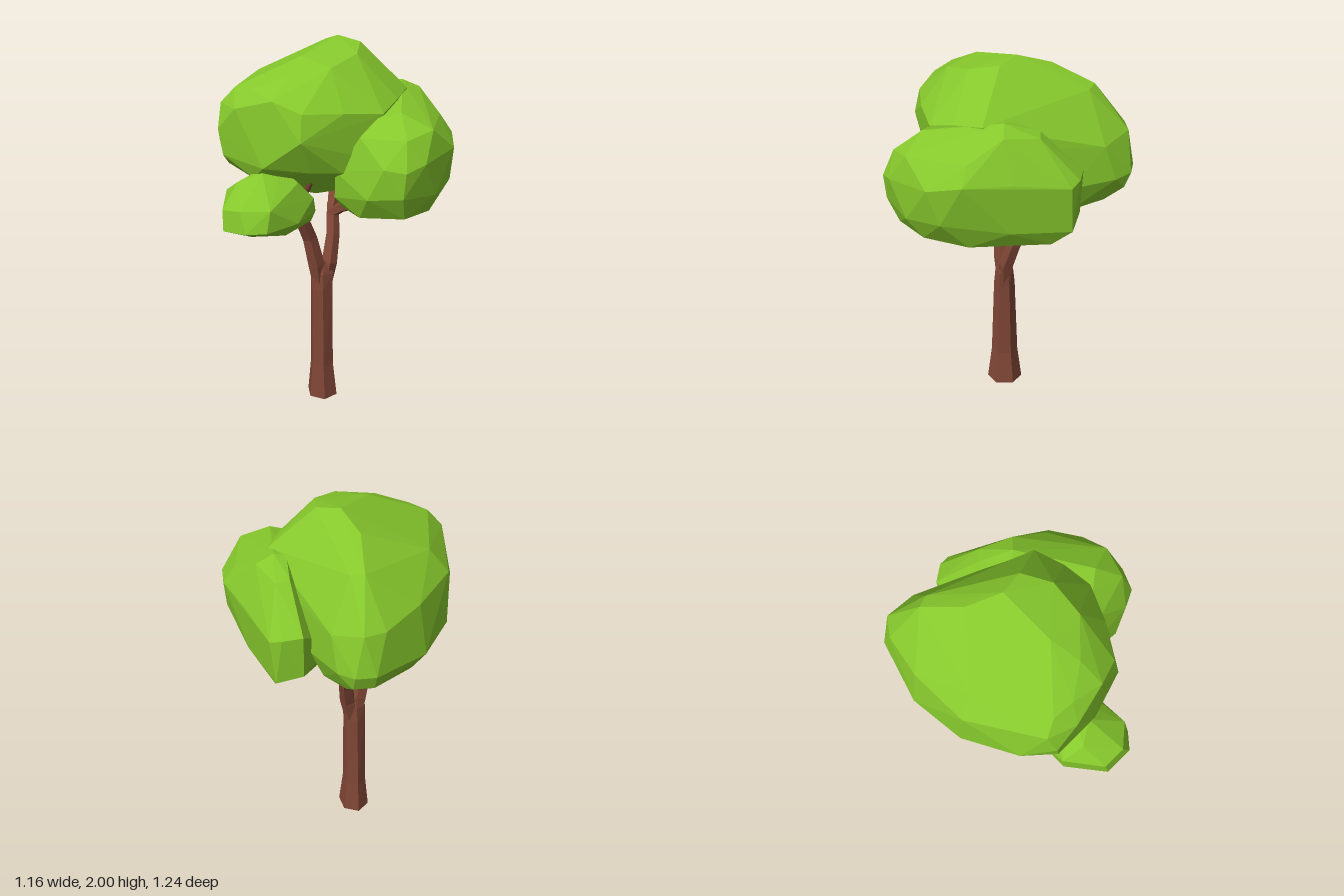
import * as THREE from 'three';
import { ConvexGeometry } from 'three/addons/geometries/ConvexGeometry.js';

const bark = new THREE.MeshStandardMaterial({ color: 0x7f4636 });
bark.name = 'bark brown';
const leaf = new THREE.MeshStandardMaterial({ color: 0x86c82c });
leaf.name = 'leaf green';

// Faceted limb through sections [x, y, z, radiusX, radiusZ], made by bending a cylinder
function limb(name, sections, sides = 5) {
  const n = sections.length - 1;
  const centres = sections.map(([x, y, z]) => new THREE.Vector3(x, y, z));
  const up = new THREE.Vector3(0, 1, 0);
  const turns = centres.map((_, i) => {
    const dir = centres[Math.min(i + 1, n)].clone().sub(centres[Math.max(i - 1, 0)]).normalize();
    return new THREE.Quaternion().setFromUnitVectors(up, dir);
  });
  const geo = new THREE.CylinderGeometry(1, 1, n, sides, n).toNonIndexed();
  const pos = geo.attributes.position;
  const v = new THREE.Vector3();
  for (let k = 0; k < pos.count; k++) {
    v.fromBufferAttribute(pos, k);
    const i = Math.round(v.y + n / 2);
    const [, , , rx, rz = rx] = sections[i];
    v.set(v.x * rx, 0, v.z * rz).applyQuaternion(turns[i]).add(centres[i]);
    pos.setXYZ(k, v.x, v.y, v.z);
  }
  geo.computeVertexNormals();
  const mesh = new THREE.Mesh(geo, bark);
  mesh.name = name;
  return mesh;
}

// Faceted leaf clump wrapped around rings of corner points
function clump(name, ...rings) {
  const points = rings.flat().map(p => new THREE.Vector3(...p));
  const mesh = new THREE.Mesh(new ConvexGeometry(points), leaf);
  mesh.name = name;
  return mesh;
}

export function createModel() {
  const tree = new THREE.Group();
  tree.name = 'tree';

  // Trunk with flared foot, closing to a notch between the forks
  tree.add(limb('trunk', [
    [-0.053, 0.005, 0.035, 0.085, 0.097], [-0.055, 0.2, 0.035, 0.065, 0.073],
    [-0.055, 0.65, 0.035, 0.063, 0.057], [-0.053, 0.74, 0.035, 0.066, 0.048], [-0.05, 0.81, 0.035, 0.035, 0.022],
  ], 6));

  // Two main forks
  tree.add(limb('rightFork', [
    [-0.064, 0.62, 0.04, 0.032], [-0.084, 0.79, 0.045, 0.046], [-0.12, 0.95, 0.055, 0.04],
    [-0.175, 1.1, 0.1, 0.037], [-0.22, 1.17, 0.13, 0.026],
  ]));
  tree.add(limb('leftFork', [
    [-0.042, 0.62, 0.03, 0.032], [-0.014, 0.79, 0.025, 0.044], [0.012, 0.93, -0.02, 0.038],
    [0.02, 1.08, -0.08, 0.034], [0.045, 1.16, -0.11, 0.026], [0.15, 1.24, -0.17, 0.014],
  ]));

  // Side branches: name, then sections
  const branches = [
    ['leftBranch', [0.01, 1.04, -0.06, 0.03], [0.06, 1.08, -0.03, 0.03], [0.15, 1.12, 0.03, 0.026], [0.27, 1.17, 0.07, 0.014]],
    ['leftTwig', [0.1, 1.1, 0, 0.02], [0.17, 1.13, -0.03, 0.017], [0.25, 1.19, -0.05, 0.01]],
    ['backBranch', [0.02, 1.07, -0.08, 0.028], [0.03, 1.15, -0.14, 0.026], [0.02, 1.2, -0.24, 0.021], [0, 1.25, -0.33, 0.012]],
    ['backTwig', [0.02, 1.18, -0.2, 0.016], [-0.04, 1.24, -0.23, 0.009]],
    ['frontBranch', [-0.16, 1.06, 0.09, 0.03], [-0.2, 1.1, 0.17, 0.026], [-0.28, 1.13, 0.27, 0.022], [-0.36, 1.2, 0.34, 0.012]],
    ['frontTwig', [-0.19, 1.1, 0.15, 0.02], [-0.18, 1.22, 0.2, 0.018], [-0.15, 1.3, 0.26, 0.015], [-0.13, 1.36, 0.3, 0.009]],
    ['rightBranch', [-0.13, 0.98, 0.06, 0.03], [-0.18, 1.07, 0, 0.026], [-0.23, 1.15, -0.08, 0.02], [-0.26, 1.23, -0.14, 0.012]],
    ['rightTwig', [-0.19, 1.09, -0.01, 0.02], [-0.27, 1.13, -0.06, 0.017], [-0.33, 1.17, -0.11, 0.01]],
  ];
  for (const [name, ...sections] of branches) tree.add(limb(name, sections));

  // Large upper clump, from the underside up
  tree.add(clump('mainCanopy',
    [[0.06, 1.27, -0.49], [0.16, 1.28, -0.47], [-0.2, 1.27, -0.4], [-0.42, 1.32, -0.2], [-0.36, 1.28, -0.15],
      [-0.33, 1.27, 0.1], [-0.1, 1.23, 0.15], [0.2, 1.24, 0.1], [0.22, 1.25, -0.3]],
    [[0.06, 1.35, -0.59], [0.16, 1.35, -0.57], [0.06, 1.43, -0.62], [0.16, 1.43, -0.6], [0.22, 1.42, -0.52],
      [0.28, 1.4, -0.3], [-0.24, 1.4, -0.48], [-0.44, 1.4, -0.26], [-0.53, 1.38, 0.05], [-0.42, 1.38, 0.31]],
    [[-0.57, 1.5, 0.02], [-0.58, 1.6, 0.19], [-0.56, 1.47, 0.2], [-0.38, 1.45, 0.39], [-0.21, 1.6, 0.5],
      [-0.15, 1.43, 0.43], [0, 1.42, 0.42], [0.2, 1.46, 0.38], [0.33, 1.5, 0.2], [0.34, 1.5, 0]],
    [[-0.56, 1.72, 0.14], [-0.5, 1.72, 0.28], [-0.33, 1.78, 0.4], [-0.2, 1.73, 0.47], [0, 1.72, 0.445],
      [0.2, 1.7, 0.39], [0.29, 1.74, 0.27], [0.365, 1.76, 0.13], [0.32, 1.63, -0.1], [0.23, 1.6, -0.46],
      [0.11, 1.64, -0.58], [0, 1.64, -0.57], [-0.21, 1.67, -0.45], [-0.44, 1.68, -0.24]],
    [[0.04, 2, -0.03], [0.14, 1.98, 0.05], [0.1, 1.95, 0.2], [-0.17, 1.94, 0.17], [-0.04, 1.91, 0.31],
      [-0.25, 1.87, 0.3], [-0.42, 1.81, 0.26], [-0.49, 1.8, 0.17], [-0.35, 1.8, -0.2], [0, 1.95, -0.2],
      [0.05, 1.86, -0.41], [0.11, 1.85, -0.38]]));

  // Lower clump on the left
  tree.add(clump('leftCanopy',
    [[0.37, 1.14, -0.13], [0.44, 1.18, -0.2], [0.49, 1.19, 0.2], [0.1, 1.17, 0.2], [0.08, 1.2, 0.45],
      [0.28, 1.22, 0.55], [0.43, 1.21, 0.42], [0.2, 1.16, -0.1], [0.01, 1.21, 0.3]],
    [[-0.03, 1.28, 0.36], [0.1, 1.32, 0.54], [0.26, 1.34, 0.61], [0.44, 1.32, 0.5], [0.55, 1.34, 0.33],
      [0.52, 1.28, 0], [0.46, 1.26, -0.3], [0.33, 1.3, -0.34], [0.12, 1.35, -0.15]],
    [[-0.03, 1.42, 0.38], [0.17, 1.48, 0.58], [0.27, 1.47, 0.62], [0.37, 1.5, 0.58], [0.55, 1.52, 0.39],
      [0.58, 1.55, 0.22], [0.53, 1.54, -0.02], [0.48, 1.5, -0.29], [0.43, 1.52, -0.33], [0.33, 1.53, -0.35]],
    [[0.08, 1.6, 0.44], [0.28, 1.61, 0.56], [0.42, 1.64, 0.49], [0.17, 1.68, 0.4], [0.28, 1.71, 0.42],
      [0.45, 1.74, 0.03], [0.36, 1.78, 0.03], [0.3, 1.77, 0.02], [0.4, 1.72, -0.14], [0.33, 1.73, -0.14],
      [0.52, 1.64, 0.2]]));

  // Small front clump on the right
  tree.add(clump('rightCanopy',
    [[-0.4, 1.09, 0.25], [-0.46, 1.1, 0.3], [-0.3, 1.1, 0.23], [-0.2, 1.12, 0.3], [-0.28, 1.12, 0.43],
      [-0.45, 1.15, 0.5], [-0.53, 1.15, 0.38]],
    [[-0.58, 1.17, 0.46], [-0.48, 1.19, 0.575], [-0.38, 1.19, 0.575], [-0.22, 1.19, 0.46], [-0.12, 1.2, 0.32],
      [-0.14, 1.14, 0.3], [-0.2, 1.22, 0.16], [-0.42, 1.2, 0.13], [-0.55, 1.2, 0.24]],
    [[-0.58, 1.27, 0.44], [-0.5, 1.29, 0.53], [-0.36, 1.29, 0.55], [-0.13, 1.27, 0.33], [-0.21, 1.36, 0.36],
      [-0.5, 1.37, 0.33], [-0.38, 1.42, 0.36], [-0.34, 1.44, 0.29], [-0.28, 1.43, 0.3], [-0.3, 1.38, 0.18],
      [-0.55, 1.3, 0.23]]));

  return tree;
}
